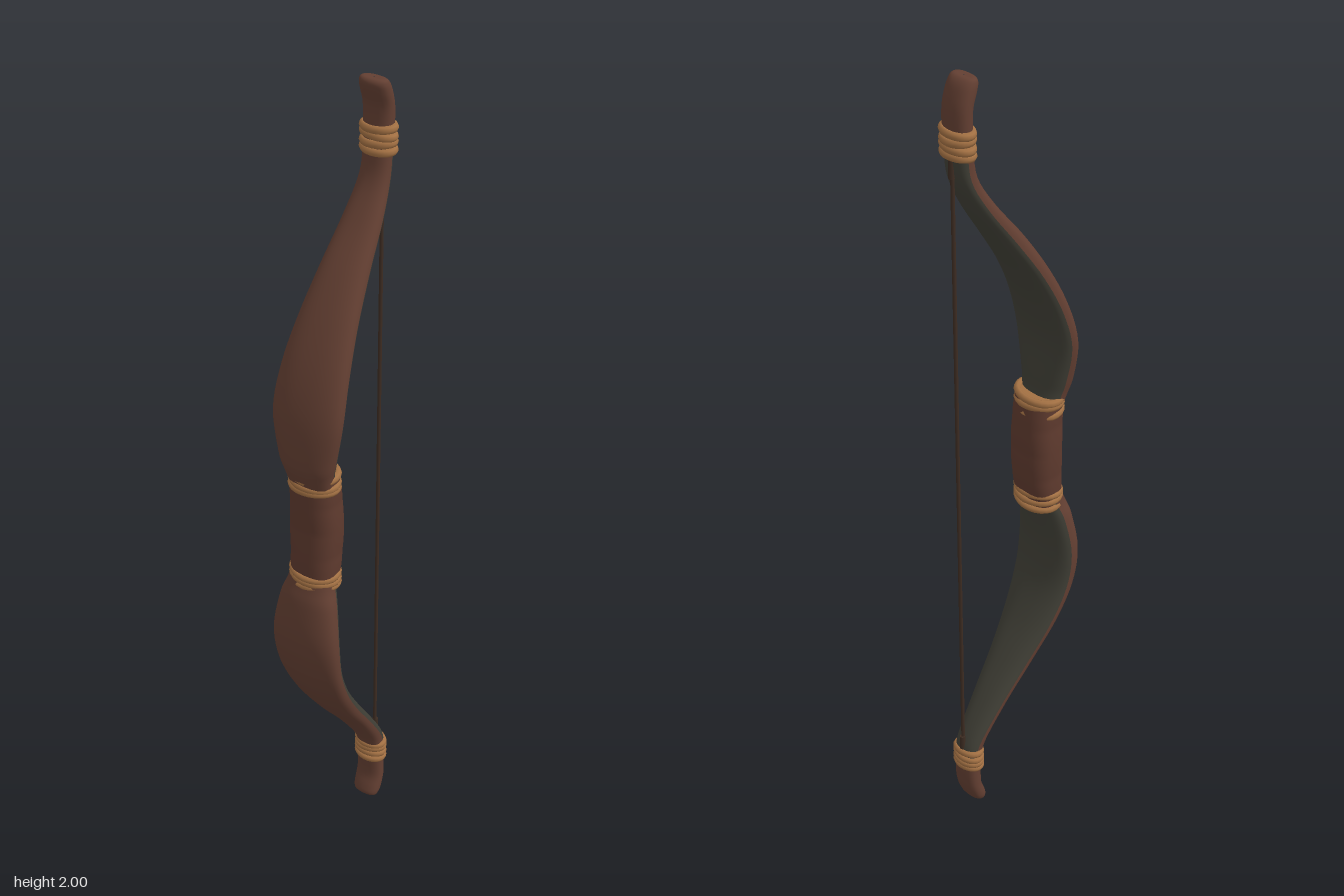
import * as THREE from 'three';
import { mergeVertices } from 'three/addons/utils/BufferGeometryUtils.js';

const flat = (name, color) => {
  const m = new THREE.MeshStandardMaterial({ color });
  m.name = name;
  return m;
};

// Rows run upward as [y, outer x, inner x, half width in z].
const UPPER = [
  [1.08, -0.13, -0.06, 0.05], [1.15, -0.155, -0.08, 0.06], [1.2, -0.165, -0.085, 0.072],
  [1.3, -0.158, -0.087, 0.089], [1.4, -0.13, -0.06, 0.085], [1.5, -0.083, -0.013, 0.073],
  [1.6, -0.02, 0.05, 0.059], [1.7, 0.057, 0.114, 0.046], [1.78, 0.104, 0.152, 0.036], [1.86, 0.115, 0.162, 0.034],
];
const LOWER = [
  [0.14, 0.115, 0.162, 0.036], [0.2, 0.098, 0.155, 0.037], [0.3, 0.03, 0.092, 0.047],
  [0.4, -0.05, 0.022, 0.06], [0.5, -0.117, -0.043, 0.076], [0.6, -0.16, -0.088, 0.087],
  [0.7, -0.176, -0.1, 0.089], [0.8, -0.165, -0.088, 0.075], [0.85, -0.15, -0.075, 0.06], [0.92, -0.13, -0.06, 0.05],
];
const TIP = [
  [1.84, 0.112, 0.162, 0.034], [1.9, 0.116, 0.163, 0.036], [1.94, 0.115, 0.16, 0.037],
  [1.97, 0.105, 0.152, 0.037], [1.99, 0.1, 0.143, 0.035], [2.0, 0.106, 0.132, 0.028], [2.0, 0.118, 0.12, 0.002],
];
const GRIP = [
  [0.84, -0.145, -0.06, 0.054], [0.92, -0.143, -0.047, 0.058], [1.0, -0.142, -0.043, 0.059],
  [1.08, -0.143, -0.047, 0.058], [1.15, -0.145, -0.055, 0.054],
];

// Skins a span of horizontal cross-sections between two angles (0 faces -x).
function loft(rows, from, to, steps, cols, ripple = () => 1) {
  const spline = new THREE.CatmullRomCurve3(rows.map(([y, o, i]) => new THREE.Vector3((o + i) / 2, y, (i - o) / 2)), false, 'catmullrom');
  const width = new THREE.CatmullRomCurve3(rows.map((r) => new THREE.Vector3(r[3], 0, 0)), false, 'catmullrom');
  const round = (v) => Math.sign(v) * Math.abs(v) ** 0.85;
  const position = [], index = [];
  for (let r = 0; r <= steps; r++) {
    const p = spline.getPoint(r / steps), w = width.getPoint(r / steps).x;
    for (let c = 0; c <= cols; c++) {
      const t = from + (to - from) * c / cols, k = ripple(t, p.y);
      position.push(p.x - p.z * round(Math.cos(t)) * k, p.y, w * round(Math.sin(t)) * k);
      if (r < steps && c < cols) {
        const a = r * (cols + 1) + c, b = a + cols + 1;
        index.push(a, a + 1, b, a + 1, b + 1, b);
      }
    }
  }
  let g = new THREE.BufferGeometry();
  g.setAttribute('position', new THREE.Float32BufferAttribute(position, 3));
  g.setIndex(index);
  g = mergeVertices(g, 1e-5);
  g.computeVertexNormals();
  return g;
}

export function createModel() {
  const wood = flat('brown wood', 0x633f32);
  const horn = flat('dark horn', 0x403f36);
  const leather = flat('grip leather', 0x5e3a2e);
  const cord = flat('tan cord', 0xa27043);
  const stringMat = flat('bowstring', 0x3d2c22);

  const bow = new THREE.Group();
  bow.name = 'bow';
  const add = (name, geometry, material, parent = bow) => {
    const mesh = new THREE.Mesh(geometry, material);
    mesh.name = name;
    parent.add(mesh);
    return mesh;
  };

  // Limbs: rounded wooden back with a dark belly facing the string
  const edge = THREE.MathUtils.degToRad(100);
  for (const [side, rows] of [['upper', UPPER], ['lower', LOWER]]) {
    add(side + 'LimbBack', loft(rows, -edge, edge, 45, 20), wood);
    add(side + 'LimbBelly', loft(rows, edge, 2 * Math.PI - edge, 45, 16), horn);
  }

  // Recurved tips
  const lowerTip = TIP.map(([y, ...rest]) => [2 - y, ...rest]).reverse();
  add('upperTip', loft(TIP, 0, 2 * Math.PI, 24, 20), wood);
  add('lowerTip', loft(lowerTip, 0, 2 * Math.PI, 24, 20), wood);

  // Grip with a criss-cross of leather folds
  const folds = (t, y) => 1 + 0.05 * Math.max(Math.abs(Math.sin(t + y * 22)), Math.abs(Math.sin(t - y * 22)));
  add('grip', loft(GRIP, 0, 2 * Math.PI, 36, 36, folds), leather);

  // Cord bindings: slightly tilted turns over a solid core
  function binding(name, x, y, height, rx, rz, turns) {
    const group = new THREE.Group();
    group.name = name;
    group.position.set(x, y, 0);
    bow.add(group);
    const thick = height / turns * 0.58;
    const core = new THREE.CylinderGeometry(1, 1, height * 0.9, 20);
    add('bindingCore', core.scale(rx - thick, 1, rz - thick), cord, group);
    for (let i = 0; i < turns; i++) {
      const ring = new THREE.TorusGeometry(rz - thick, thick, 8, 24).rotateX(Math.PI / 2);
      const turn = add('cordTurn', ring.scale(rx / rz, 1, 1), cord, group);
      turn.position.y = ((i + 0.5) / turns - 0.5) * height;
      turn.rotation.set(0.07 * Math.sin(i * 2.3 + y * 5), 0, 0.09 * Math.cos(i * 1.9 + y * 3));
    }
  }
  binding('upperTipBinding', 0.139, 1.862, 0.066, 0.033, 0.046, 4);
  binding('lowerTipBinding', 0.137, 0.15, 0.062, 0.033, 0.045, 4);
  binding('upperGripBinding', -0.1, 1.127, 0.05, 0.053, 0.065, 3);
  binding('lowerGripBinding', -0.1, 0.86, 0.046, 0.053, 0.065, 3);

  // String with a short thicker serving at each end
  const stringGeo = new THREE.CylinderGeometry(0.0045, 0.0045, 1.68, 8);
  add('string', stringGeo, stringMat).position.set(0.155, 1.005, 0);
  for (const y of [0.2, 1.81]) {
    add('stringServing', new THREE.CylinderGeometry(0.007, 0.007, 0.05, 8), stringMat).position.set(0.157, y, 0);
  }
  return bow;
}
